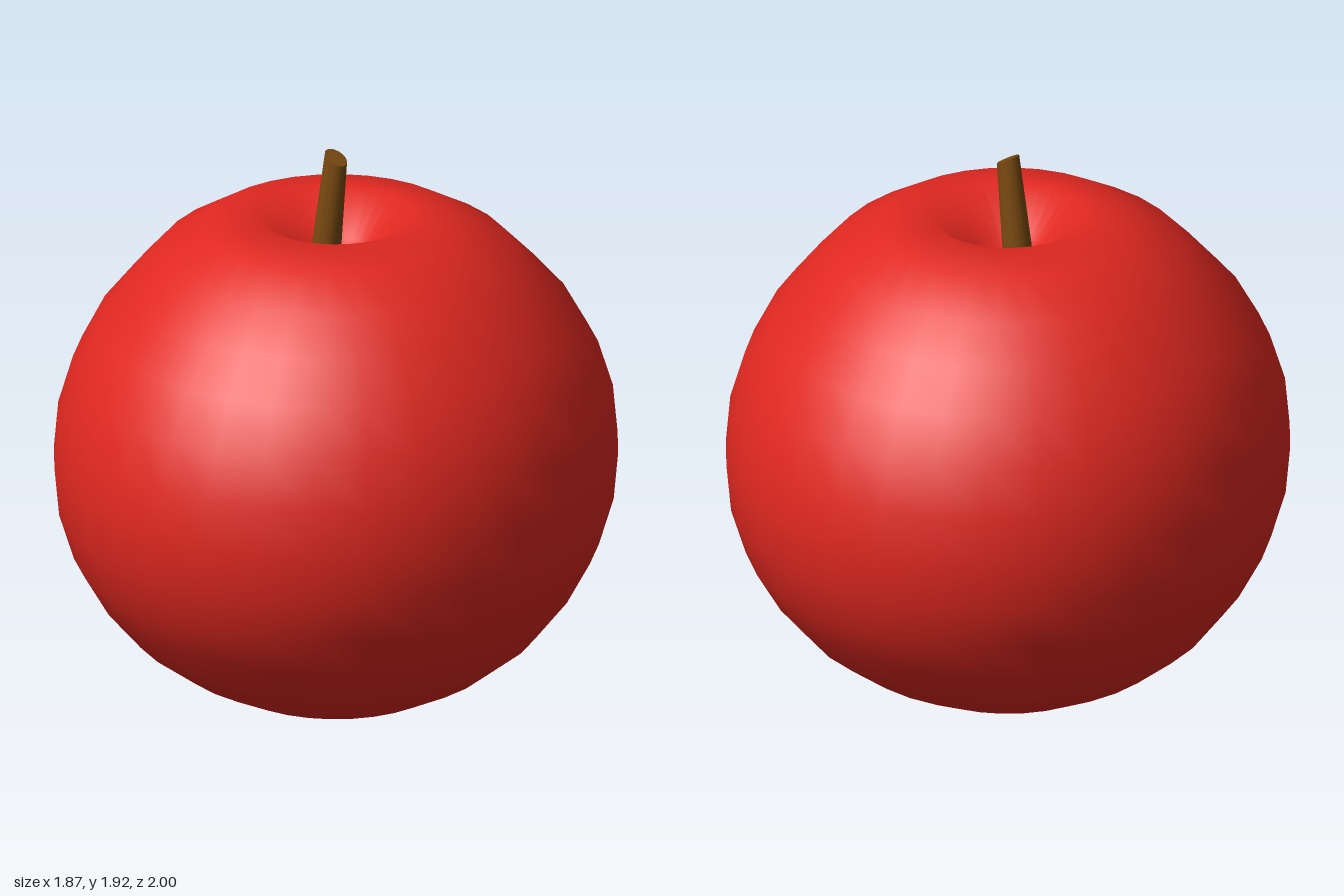
import * as THREE from 'three';
import { mergeVertices } from 'three/addons/utils/BufferGeometryUtils.js';

// Weld and smooth a deformed geometry so no seam shows
function smooth(geometry) {
  geometry.deleteAttribute('uv');
  geometry.deleteAttribute('normal');
  const welded = mergeVertices(geometry, 1e-4);
  welded.computeVertexNormals();
  return welded;
}

// Apple flesh: turned profile with a hollow at both ends, slightly narrower in x around the middle
function createBody() {
  const profile = [
    [0, 0.2], [0.09, 0.12], [0.195, 0.01], [0.38, 0], [0.555, 0.09], [0.71, 0.205], [0.833, 0.345],
    [0.925, 0.495], [0.982, 0.66], [1, 0.83], [0.982, 1], [0.925, 1.165], [0.833, 1.32],
    [0.715, 1.45], [0.6, 1.565], [0.435, 1.66], [0.26, 1.69], [0.12, 1.56], [0, 1.48],
  ].map(([r, y]) => new THREE.Vector2(r, y));
  const geometry = new THREE.LatheGeometry(profile, 32);
  const p = geometry.attributes.position;
  for (let i = 0; i < p.count; i++) {
    const d = (p.getY(i) - 0.83) / 0.83;
    p.setX(i, p.getX(i) * (1 - 0.065 * Math.max(0, 1 - d * d)));
  }
  const body = new THREE.Mesh(smooth(geometry), new THREE.MeshStandardMaterial({ color: 0xe02820 }));
  body.name = 'appleBody';
  return body;
}

// Stem: tapered cylinder leaning to +x, its top cut on a slant
function createStem() {
  const bottom = 1.42, top = 1.9;
  const geometry = new THREE.CylinderGeometry(0.038, 0.056, top - bottom, 16, 1);
  geometry.translate(0, (top + bottom) / 2, 0);
  const p = geometry.attributes.position;
  for (let i = 0; i < p.count; i++) {
    const x = p.getX(i), y = p.getY(i);
    const slant = y > 1.7 ? -0.55 * x : 0;
    p.setXYZ(i, x + (y - top) * 0.12, y + slant, p.getZ(i));
  }
  geometry.computeVertexNormals();
  const stem = new THREE.Mesh(geometry, new THREE.MeshStandardMaterial({ color: 0x7a4a10 }));
  stem.name = 'stem';
  return stem;
}

export function createModel() {
  const apple = new THREE.Group();
  apple.name = 'apple';
  apple.add(createBody(), createStem());
  return apple;
}
